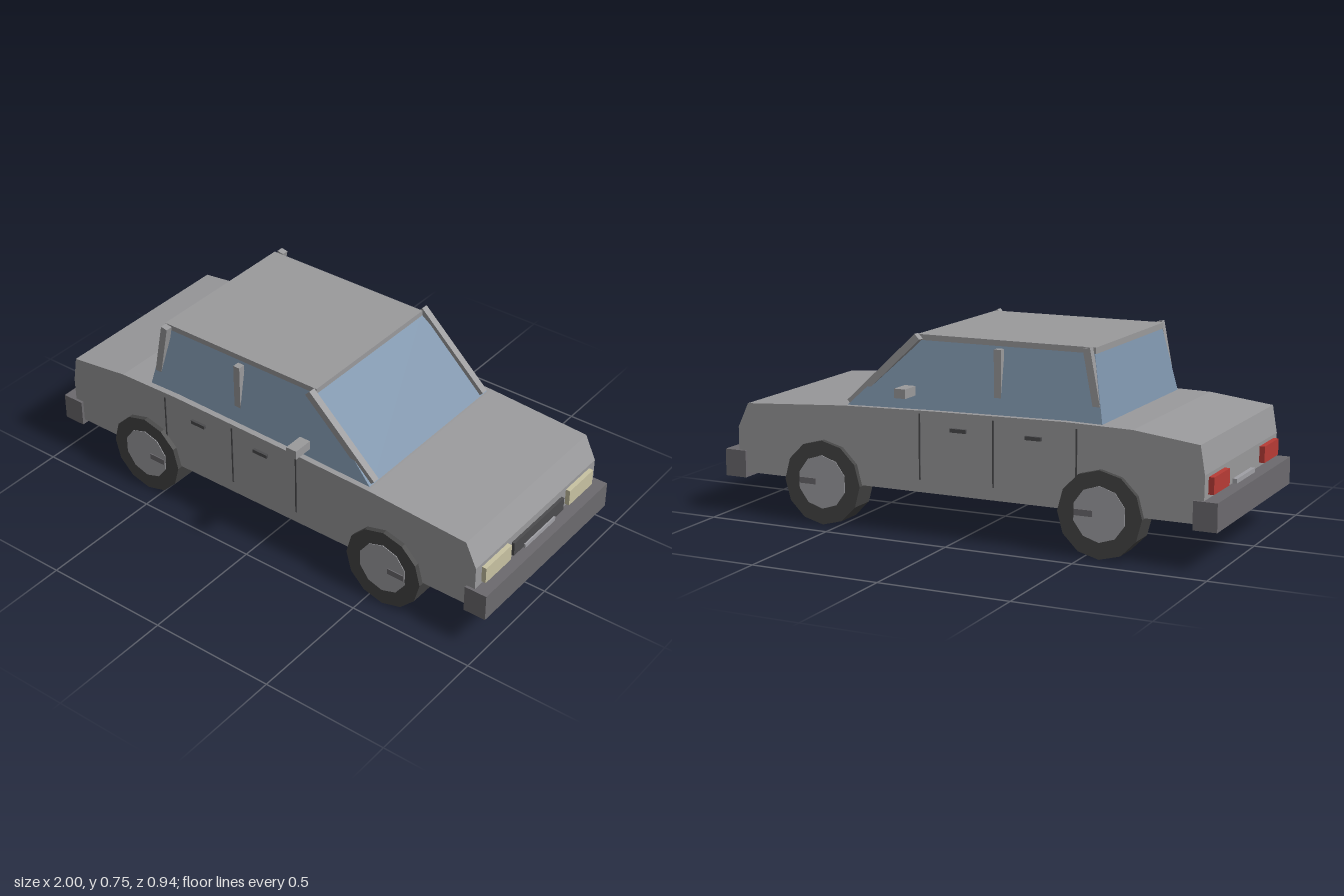
import * as THREE from 'three';

export function createModel() {
  const car = new THREE.Group();
  car.name = 'car';
  const mat = (name, color) => {
    const m = new THREE.MeshStandardMaterial({ color, flatShading: true });
    m.name = name;
    return m;
  };
  const paint = mat('body grey', 0x9a9a9c);
  const trim = mat('bumper grey', 0x6c6a6e);
  const rubber = mat('tyre rubber', 0x464646);
  const glass = mat('window glass', 0x7d93aa);
  const lamp = mat('headlight cream', 0xc8c2a2);
  const red = mat('tail light red', 0xb83c36);
  const dark = mat('dark detail', 0x4c4c4e);
  const silver = mat('hub silver', 0xa0a0a5);

  const add = (name, geometry, material, x = 0, y = 0, z = 0) => {
    const mesh = new THREE.Mesh(geometry, material);
    mesh.name = name;
    mesh.position.set(x, y, z);
    car.add(mesh);
    return mesh;
  };
  // Box given by its limits on each axis
  const box = (name, material, x0, x1, y0, y1, z0, z1) =>
    add(name, new THREE.BoxGeometry(x1 - x0, y1 - y0, z1 - z0), material,
      (x0 + x1) / 2, (y0 + y1) / 2, (z0 + z1) / 2);

  // Lower body: side profile extruded across the width
  const profile = [
    [-0.945, 0.165], [0.945, 0.165], [0.945, 0.34], [0.9, 0.435], [0.48, 0.462],
    [0.1, 0.472], [-0.42, 0.48], [-0.68, 0.475], [-0.93, 0.445], [-0.948, 0.34],
  ].map(([x, y]) => new THREE.Vector2(x, y));
  const bodyGeo = new THREE.ExtrudeGeometry(new THREE.Shape(profile), { depth: 0.788, bevelEnabled: false });
  add('body', bodyGeo, paint, 0, 0, -0.394);

  // Cabin glass: a box pulled in toward the roof
  const cabinGeo = new THREE.BoxGeometry(2, 2, 2);
  const p = cabinGeo.attributes.position;
  for (let i = 0; i < p.count; i++) {
    const top = p.getY(i) > 0, front = p.getX(i) > 0;
    const x = front ? (top ? 0.195 : 0.48) : (top ? -0.505 : -0.56);
    p.setXYZ(i, x, top ? 0.725 : 0.455, Math.sign(p.getZ(i)) * (top ? 0.324 : 0.374));
  }
  cabinGeo.computeVertexNormals();
  add('cabinGlass', cabinGeo, glass);
  box('roof', paint, -0.51, 0.2, 0.718, 0.741, -0.325, 0.325);

  // Bumpers, grille and number plates
  box('frontBumper', trim, 0.91, 1, 0.145, 0.25, -0.405, 0.405);
  box('rearBumper', trim, -1, -0.91, 0.145, 0.25, -0.405, 0.405);
  box('grille', dark, 0.94, 0.957, 0.255, 0.31, -0.165, 0.165);
  box('frontPlate', silver, 0.95, 0.963, 0.22, 0.267, -0.1, 0.1);
  box('rearPlate', silver, -0.963, -0.94, 0.22, 0.267, -0.1, 0.1);

  // Slanted pillar between two points of the side view
  const pillar = (name, x0, y0, x1, y1, z) => {
    const length = Math.hypot(x1 - x0, y1 - y0);
    const m = add(name, new THREE.BoxGeometry(length, 0.028, 0.028), paint,
      (x0 + x1) / 2, (y0 + y1) / 2, z);
    m.rotation.z = Math.atan2(y1 - y0, x1 - x0);
  };

  for (const s of [1, -1]) {
    const side = s > 0 ? 'left' : 'right'; // viewed with +z as the left-hand flank
    const sideBox = (name, material, x0, x1, y0, y1, z0, z1) =>
      box(side + name, material, x0, x1, y0, y1, Math.min(s * z0, s * z1), Math.max(s * z0, s * z1));

    // Window pillars
    pillar(side + 'FrontPillar', 0.472, 0.468, 0.185, 0.736, s * 0.345);
    pillar(side + 'RearPillar', -0.54, 0.468, -0.487, 0.742, s * 0.345);
    sideBox('CentrePillar', paint, -0.155, -0.127, 0.46, 0.712, 0.331, 0.359);

    // Lamps
    sideBox('Headlight', lamp, 0.935, 0.963, 0.26, 0.325, 0.193, 0.355);
    sideBox('TailLight', red, -0.968, -0.94, 0.265, 0.327, 0.193, 0.355);

    // Mirrors, door seams and handles
    sideBox('Mirror', paint, 0.175, 0.22, 0.525, 0.56, 0.39, 0.47);
    for (const x of [-0.468, -0.142, 0.158])
      sideBox('DoorSeam', dark, x - 0.003, x + 0.003, 0.212, 0.46, 0.39, 0.397);
    for (const x of [-0.302, -0.003])
      sideBox('DoorHandle', dark, x - 0.032, x + 0.032, 0.403, 0.417, 0.39, 0.405);

    // Wheels: tyre, hub disc and a short off-centre hub bar
    for (const x of [-0.565, 0.565]) {
      const end = x > 0 ? 'Front' : 'Rear';
      const tyre = new THREE.CylinderGeometry(0.162, 0.162, 0.105, 12).rotateX(Math.PI / 2);
      add(side + end + 'Tyre', tyre, rubber, x, 0.162, s * 0.361);
      const hub = new THREE.CylinderGeometry(0.103, 0.103, 0.11, 10).rotateX(Math.PI / 2);
      add(side + end + 'Hub', hub, silver, x, 0.165, s * 0.361);
      sideBox(end + 'HubBar', trim, x + 0.025, x + 0.095, 0.154, 0.177, 0.4, 0.42);
    }
  }
  return car;
}
